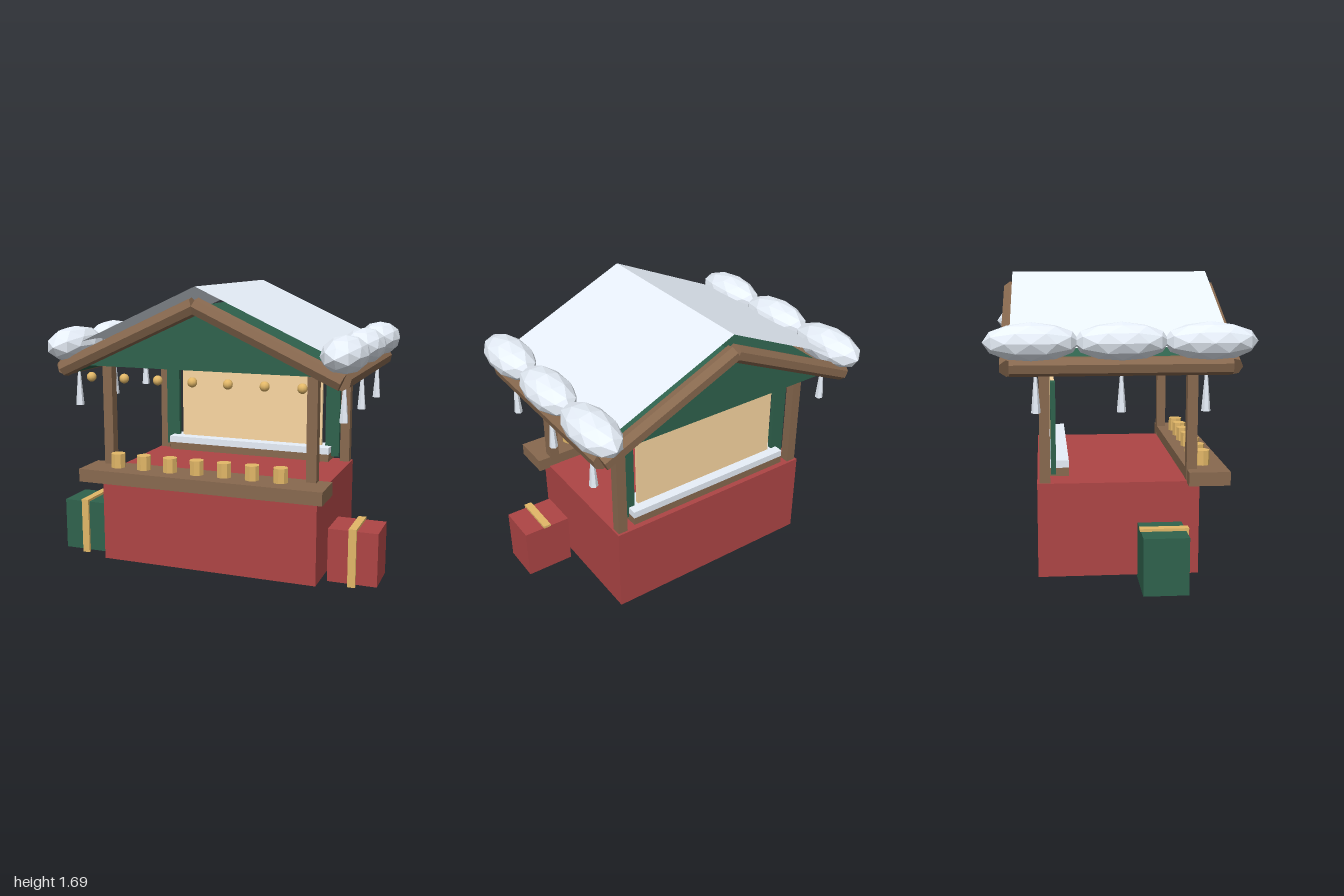
import * as THREE from 'three';

const mat = (color, extra = {}) => new THREE.MeshStandardMaterial({ color, flatShading: true, ...extra });

export function createModel() {
  const group = new THREE.Group();
  const red = mat(0xae4545), green = mat(0x2f624d), wood = mat(0x88694f), gold = mat(0xe3b868);
  const cloth = mat(0xfbd8a2), snow = mat(0xe8f0fa), snowSheet = mat(0xe8f0fa, { side: THREE.DoubleSide });
  const glow = mat(0xe3b868, { flatShading: false });

  const add = (name, geometry, material, x = 0, y = 0, z = 0) => {
    const mesh = new THREE.Mesh(geometry, material);
    mesh.name = name;
    mesh.position.set(x, y, z);
    group.add(mesh);
    return mesh;
  };
  // Box given by its limits on each axis
  const box = (name, material, x0, x1, y0, y1, z0, z1) =>
    add(name, new THREE.BoxGeometry(x1 - x0, y1 - y0, z1 - z0), material, (x0 + x1) / 2, (y0 + y1) / 2, (z0 + z1) / 2);
  // Seven-sided log between two points
  const log = (name, a, b, radius) => {
    const dir = b.clone().sub(a);
    const mesh = add(name, new THREE.CylinderGeometry(radius, radius, dir.length(), 7), wood);
    mesh.position.copy(a).add(b).multiplyScalar(0.5);
    mesh.quaternion.setFromUnitVectors(new THREE.Vector3(0, 1, 0), dir.normalize());
  };
  // Outline in the front plane, extruded from z0 to z1
  const slab = (name, material, points, z0, z1) => {
    const shape = new THREE.Shape(points.map(([x, y]) => new THREE.Vector2(x, y)));
    add(name, new THREE.ExtrudeGeometry(shape, { depth: z1 - z0, bevelEnabled: false }), material, 0, 0, z0);
  };

  // Stall body and front counter
  box('stallBase', red, -0.67, 0.67, 0.015, 0.55, -0.45, 0.45);
  box('counter', wood, -0.74, 0.74, 0.538, 0.615, 0.38, 0.61);

  // Mugs along the counter
  for (let i = 0; i < 7; i++) {
    add('mug', new THREE.CylinderGeometry(0.043, 0.043, 0.085, 8), gold, -0.543 + i * 0.1685, 0.657, 0.485);
  }

  // Back wall opening with shelf
  box('backPanel', cloth, -0.485, 0.485, 0.6, 1.1, -0.37, -0.35);
  box('backShelf', wood, -0.55, 0.55, 0.563, 0.61, -0.43, -0.272);
  box('shelfSnow', snow, -0.55, 0.55, 0.61, 0.652, -0.43, -0.272);

  // Roof shell, open underneath
  const slope = 0.456, sheetW = 0.83, w = 0.8;
  slab('roof', green, [[0, 1.585], [-w, 1.585 - w * slope], [-w, 1.54 - w * slope], [0, 1.54],
    [w, 1.54 - w * slope], [w, 1.585 - w * slope]], -0.58, 0.58);

  for (const s of [-1, 1]) {
    // Gable, roof trim and posts at the front and back
    slab('gable', green, [[-0.69, 1.23], [0.69, 1.23], [0, 1.55]], s * 0.56 - 0.015, s * 0.56 + 0.015);
    for (const side of [-1, 1]) {
      log('roofTrim', new THREE.Vector3(0, 1.587, s * 0.59), new THREE.Vector3(side * 0.83, 1.208, s * 0.59), 0.051);
      box('post', wood, side * 0.63 - 0.03, side * 0.63 + 0.03, 0.55, 1.26, s * 0.407 - 0.029, s * 0.407 + 0.029);
    }

    // Eave beam and back shutter on each side
    log('eaveBeam', new THREE.Vector3(s * 0.825, 1.217, -0.585), new THREE.Vector3(s * 0.825, 1.217, 0.585), 0.053);
    box('shutter', green, s * 0.555 - 0.045, s * 0.555 + 0.045, 0.585, 1.1, -0.373, -0.345);

    // Thin sheet of snow raised above each roof slope
    const plane = new THREE.PlaneGeometry(sheetW * Math.hypot(1, slope), 1.17).rotateX(-Math.PI / 2);
    add('roofSnow', plane, snowSheet, s * sheetW / 2, 1.692 - sheetW * slope / 2, 0).rotation.z = -s * Math.atan(slope);

    // Snow heaps and icicles along the eaves
    for (const k of [-1, 0, 1]) {
      const heap = add('snowHeap', new THREE.IcosahedronGeometry(1, 1), snow, s * 0.815, 1.342, k * 0.47);
      heap.scale.set(0.125, 0.104, 0.253);
      add('icicle', new THREE.CylinderGeometry(0.004, 0.025, 0.25, 6), snow, s * 0.81, 1.095, k * 0.45);
    }

    // Ribboned gift box beside the stall
    const gx = s * 0.855;
    box('giftBox', s > 0 ? red : green, gx - 0.145, gx + 0.145, 0.015, 0.33, 0.1, 0.345);
    box('ribbonFront', gold, gx - 0.023, gx + 0.023, 0, 0.345, 0.345, 0.36);
    box('ribbonTop', gold, gx - 0.023, gx + 0.023, 0.33, 0.345, 0.095, 0.345);
  }

  // Row of round lights under the front gable
  for (let i = -3; i <= 3; i++) {
    add('light', new THREE.SphereGeometry(0.028, 10, 8), glow, i * 0.209 - 0.003, 1.172, 0.62);
  }
  return group;
}
